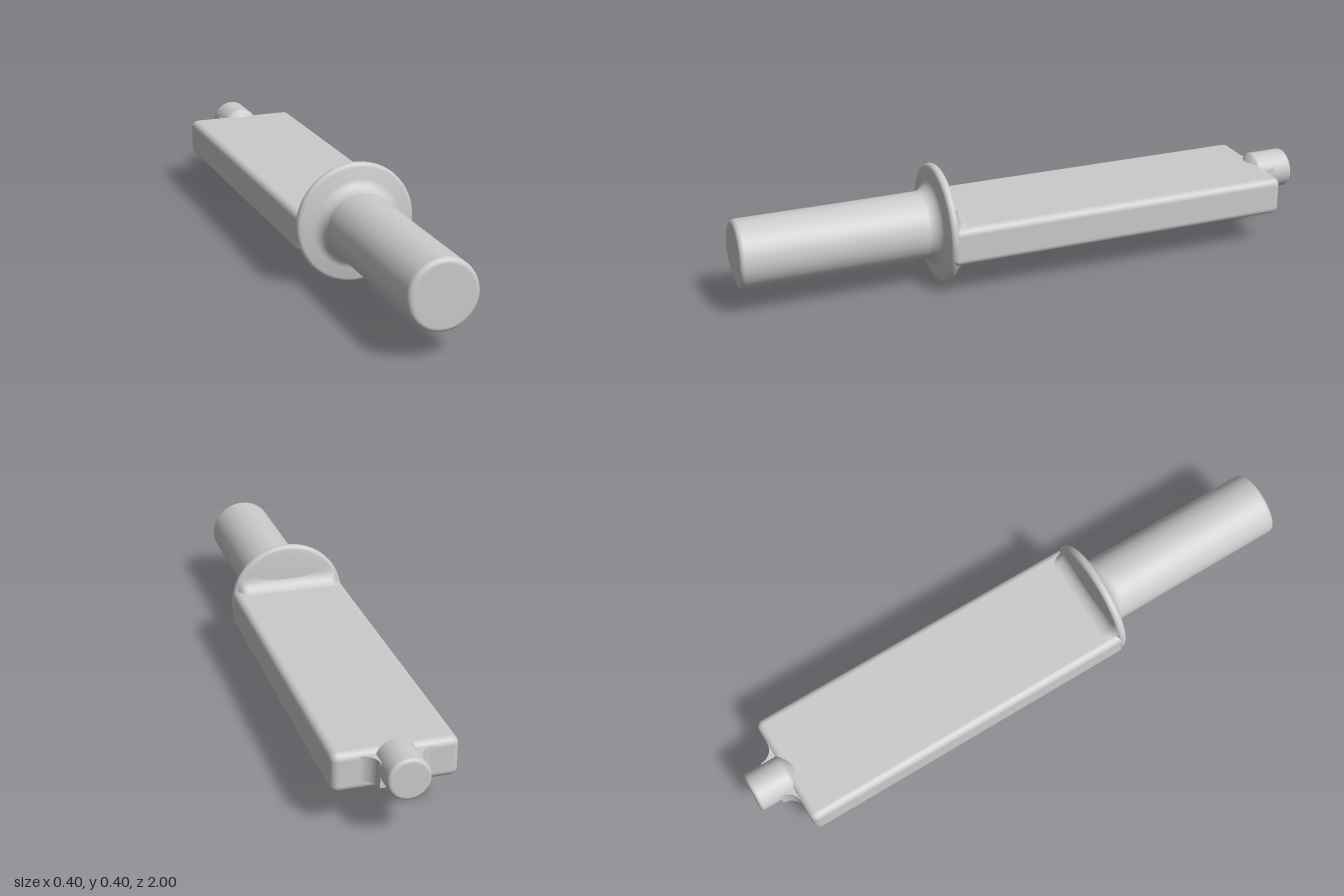
import * as THREE from 'three';
import { RoundedBoxGeometry } from 'three/addons/geometries/RoundedBoxGeometry.js';
import { ParametricGeometry } from 'three/addons/geometries/ParametricGeometry.js';

const AXIS_Y = 0.2, SPLIT_Y = 0.19;
const material = new THREE.MeshStandardMaterial({ color: 0xcccccc, side: THREE.DoubleSide });

// Revolve [radius, z] pairs around the z axis at axis height y
function turned(points, y) {
  const g = new THREE.LatheGeometry(points.map(([r, z]) => new THREE.Vector2(r, z)), 64);
  return g.rotateX(Math.PI / 2).translate(0, y, 0);
}

// Quarter-circle points between two angles, as [radius, z]
function arc(cr, cz, r, from, to, n = 6) {
  return Array.from({ length: n + 1 }, (_, i) => {
    const a = from + (to - from) * i / n;
    return [cr + r * Math.cos(a), cz + r * Math.sin(a)];
  });
}

// Slight draft on an end face, away from the horizontal parting line
function draftEnd(g, limit) {
  const p = g.attributes.position;
  for (let i = 0; i < p.count; i++) {
    const z = p.getZ(i);
    if (Math.abs(z) > limit) p.setZ(i, z - Math.sign(z) * 0.05 * Math.abs(p.getY(i) - SPLIT_Y));
  }
  return g;
}

export function createModel() {
  const group = new THREE.Group();
  const add = (name, geometry) => {
    const mesh = new THREE.Mesh(geometry, material);
    mesh.name = name;
    group.add(mesh);
  };
  const H = Math.PI / 2;

  // Round collar with a soft rim, swept into the handle by a fillet
  add('collar', turned([
    [0, 0.295], [0.06, 0.295], [0.15, 0.299],
    ...arc(0.185, 0.318, 0.015, -H, H, 10),
    [0.165, 0.337],
    ...arc(0.157, 0.383, 0.044, -H, -2 * H, 8),
    [0.112, 0.4],
  ], AXIS_Y));

  // Cylindrical handle with rounded end
  add('handle', draftEnd(turned([
    [0.114, 0.32], [0.113, 0.6], [0.113, 0.984],
    ...arc(0.097, 0.984, 0.016, 0, H),
    [0.05, 1], [0, 1],
  ], AXIS_Y), 0.95));

  // Flat blade
  const blade = new RoundedBoxGeometry(0.394, 0.13, 1.207, 4, 0.024);
  add('blade', blade.translate(0, 0.182, -0.2735));

  // Straight fillets joining the blade faces to the collar, trimmed to its circle
  for (const side of [1, -1]) {
    const base = side > 0 ? 0.246 : 0.118;
    const fillet = new ParametricGeometry((u, v, target) => {
      const a = v * H;
      const y = base + side * 0.052 * (1 - Math.cos(a));
      const front = 0.253 + 0.046 * Math.sin(a);
      const half = Math.min(0.18, Math.sqrt(0.196 ** 2 - (y - AXIS_Y) ** 2));
      const s = 2 * u - 1;
      const drop = Math.max(0, Math.abs(s) - 0.85) / 0.15;
      target.set(s * half, y, front + (0.305 - front) * drop * drop);
    }, 40, 10);
    // Keep outward winding on both faces
    if (side > 0) {
      const index = fillet.index.array;
      for (let i = 0; i < index.length; i += 3) [index[i], index[i + 1]] = [index[i + 1], index[i]];
    }
    fillet.computeVertexNormals();
    add(side > 0 ? 'upperBladeFillet' : 'lowerBladeFillet', fillet);
  }

  // Short round pin at the tip, tapering into the blade
  add('tipPin', draftEnd(turned([
    [0, -1], [0.03, -1],
    ...arc(0.055, -0.988, 0.012, -H, 0),
    [0.067, -0.95], [0.067, -0.872], [0.062, -0.864], [0.035, -0.835], [0, -0.83],
  ], 0.205), 0.96));

  // Concave webs where the pin meets the blade end
  const web = new THREE.Shape();
  web.moveTo(-0.115, 0.85);
  web.lineTo(-0.115, 0.876);
  web.absarc(-0.115, 0.926, 0.05, -H, 0, false);
  web.lineTo(0.065, 0.926);
  web.absarc(0.115, 0.926, 0.05, Math.PI, 1.5 * Math.PI, false);
  web.lineTo(0.115, 0.85);
  const webGeometry = new THREE.ExtrudeGeometry(web, { depth: 0.084, bevelEnabled: false, curveSegments: 8 });
  add('tipWeb', webGeometry.rotateX(-H).translate(0, 0.148, 0));

  return group;
}
